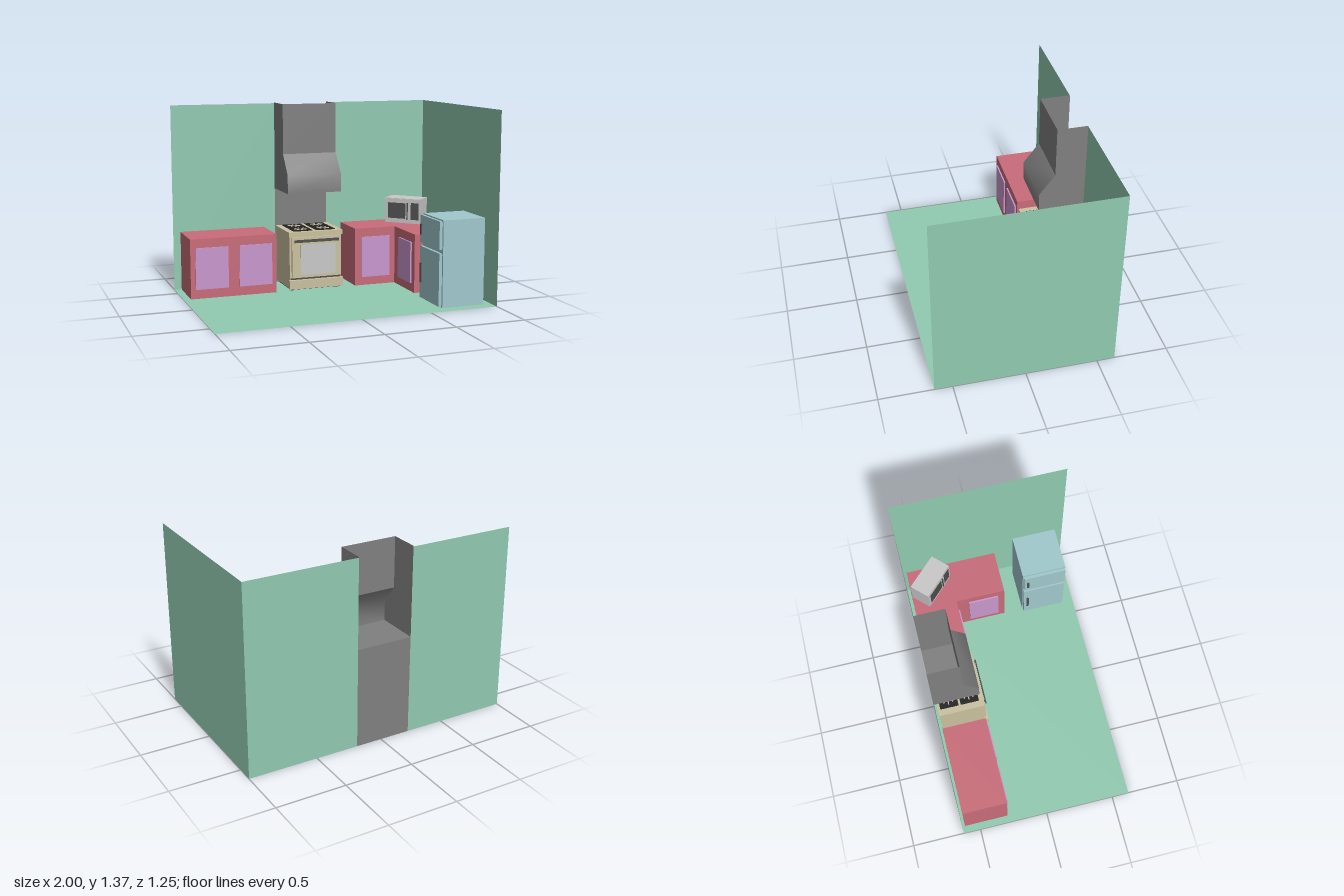
import * as THREE from 'three';

export function createModel() {
  const root = new THREE.Group();
  root.name = 'kitchen';

  const mat = (name, color, double) => {
    const m = new THREE.MeshStandardMaterial({ color });
    m.name = name;
    if (double) m.side = THREE.DoubleSide;
    return m;
  };
  const green = mat('wall green', 0x91cab1, true);
  const steel = mat('hood grey', 0x808080, true);
  const red = mat('cabinet red', 0xc86c79);
  const purple = mat('cabinet door purple', 0xc998cd);
  const beige = mat('stove beige', 0xcac19f);
  const paleGrey = mat('pale grey', 0xc9c9c9);
  const blue = mat('fridge blue', 0xa1c9cd);
  const dark = mat('dark grey', 0x505050);
  const black = mat('burner black', 0x222222);

  const add = (parent, name, geo, material) => {
    const m = new THREE.Mesh(geo, material);
    m.name = name;
    parent.add(m);
    return m;
  };
  const group = (name) => {
    const g = new THREE.Group();
    g.name = name;
    root.add(g);
    return g;
  };
  // Box given by its extents on each axis
  const box = (parent, name, material, [x0, x1], [y0, y1], [z0, z1]) => {
    const m = add(parent, name, new THREE.BoxGeometry(x1 - x0, y1 - y0, z1 - z0), material);
    m.position.set((x0 + x1) / 2, (y0 + y1) / 2, (z0 + z1) / 2);
    return m;
  };
  // Sheet spanning x0..x1 that follows a [z, y] path, smooth along the path
  const sheet = (parent, name, material, x0, x1, path) => {
    const pos = [], idx = [];
    path.forEach(([z, y], i) => {
      pos.push(x0, y, z, x1, y, z);
      if (i) {
        const a = 2 * i - 2;
        idx.push(a, a + 2, a + 1, a + 1, a + 2, a + 3);
      }
    });
    const g = new THREE.BufferGeometry();
    g.setAttribute('position', new THREE.Float32BufferAttribute(pos, 3));
    g.setIndex(idx);
    g.computeVertexNormals();
    return add(parent, name, g, material);
  };

  // Room: floor, back wall with a gap for the hood, side wall
  const B = -0.625, F = 0.625, H = 1.36, L = -0.22, R = 0.19;
  const room = group('room');
  sheet(room, 'floor', green, -1, 1, [[B, 0], [F, 0]]);
  sheet(room, 'backWallLeftPart', green, -1, L, [[B, H], [B, 0]]);
  sheet(room, 'backWallRightPart', green, R, 1, [[B, H], [B, 0]]);
  const side = add(room, 'sideWall', new THREE.PlaneGeometry(F - B, H), green);
  side.rotation.y = -Math.PI / 2;
  side.position.set(1, H / 2, 0);

  // Extractor hood, an open shell in the wall gap
  const hood = group('hood');
  sheet(hood, 'splashback', steel, L, R, [[B, 0.72], [B, 0]]);
  sheet(hood, 'hoodBottom', steel, L, R, [[-0.3, 0.72], [B, 0.72]]);
  sheet(hood, 'chimneyFront', steel, L, R, [[-0.41, 1.365], [-0.41, 1]]);
  sheet(hood, 'hoodFront', steel, L, R, [[-0.41, 1], [-0.3, 0.855], [-0.3, 0.72]]);
  const profile = new THREE.Shape([
    [B, 0.72], [-0.3, 0.72], [-0.3, 0.855], [-0.41, 1], [-0.41, 1.365], [B, 1.365],
  ].map(([z, y]) => new THREE.Vector2(z, y)));
  for (const x of [L, R]) {
    const g = new THREE.ShapeGeometry(profile).rotateY(-Math.PI / 2);
    if (x === R) { // turn the second side outward
      g.index.array.reverse();
      g.computeVertexNormals();
    }
    add(hood, 'hoodSide', g, steel).position.x = x;
  }

  // Left cabinet
  const leftCabinet = group('leftCabinet');
  box(leftCabinet, 'cabinetBody', red, [-0.95, -0.315], [0.002, 0.435], [-0.605, -0.285]);
  for (const x of [[-0.915, -0.675], [-0.595, -0.35]])
    box(leftCabinet, 'cabinetDoor', purple, x, [0.07, 0.37], [-0.286, -0.274]);

  // Corner cabinet, an L shape extruded upward
  const corner = group('cornerCabinet');
  const plan = new THREE.Shape([
    [0.3, 0.6], [0.3, 0.285], [0.62, 0.285], [0.62, -0.08], [0.94, -0.08], [0.94, 0.6],
  ].map(([x, y]) => new THREE.Vector2(x, y)));
  const bodyGeo = new THREE.ExtrudeGeometry(plan, { depth: 0.433, bevelEnabled: false });
  add(corner, 'cabinetBody', bodyGeo.rotateX(-Math.PI / 2), red).position.y = 0.002;
  box(corner, 'cabinetDoor', purple, [0.348, 0.575], [0.065, 0.37], [-0.286, -0.274]);
  box(corner, 'cabinetDoor', purple, [0.608, 0.621], [0.065, 0.37], [-0.195, 0.03]);

  // Stove
  const stove = group('stove');
  box(stove, 'stoveBase', dark, [-0.205, 0.18], [0.008, 0.03], [-0.59, -0.29]);
  box(stove, 'stoveBody', beige, [-0.215, 0.185], [0.02, 0.425], [-0.6, -0.28]);
  box(stove, 'stoveTop', beige, [-0.222, 0.192], [0.405, 0.44], [-0.605, -0.27]);
  box(stove, 'drawer', beige, [-0.222, 0.192], [0.02, 0.085], [-0.285, -0.25]);
  box(stove, 'drawerGap', dark, [-0.21, 0.18], [0.085, 0.097], [-0.285, -0.278]);
  box(stove, 'ovenDoor', beige, [-0.2, 0.175], [0.1, 0.4], [-0.285, -0.265]);
  box(stove, 'ovenWindow', paleGrey, [-0.135, 0.135], [0.12, 0.345], [-0.266, -0.263]);
  box(stove, 'ovenHandle', dark, [-0.185, 0.157], [0.364, 0.384], [-0.259, -0.251]);
  for (const x of [-0.175, 0.135])
    box(stove, 'handleMount', dark, [x, x + 0.012], [0.368, 0.38], [-0.266, -0.256]);
  for (const x of [-0.19, 0.16])
    for (const z of [-0.57, -0.31])
      add(stove, 'stoveFoot', new THREE.CylinderGeometry(0.012, 0.012, 0.022, 10), dark)
        .position.set(x, 0.013, z);

  // Four burners with eight-armed grates
  for (const x of [-0.103, 0.073])
    for (const z of [-0.52, -0.37]) {
      const burner = new THREE.Group();
      burner.name = 'burner';
      burner.position.set(x, 0.44, z);
      stove.add(burner);
      box(burner, 'burnerPlate', black, [-0.073, 0.073], [0, 0.004], [-0.067, 0.067]);
      for (let i = 0; i < 4; i++)
        box(burner, 'grateArm', beige, [-0.05, 0.05], [0.004, 0.0065], [-0.004, 0.004])
          .rotation.y = i * Math.PI / 4;
      add(burner, 'burnerCap', new THREE.CylinderGeometry(0.012, 0.012, 0.004, 12), black)
        .position.y = 0.006;
    }

  // Fridge, its doors facing -x
  const fridge = group('fridge');
  box(fridge, 'fridgeBody', blue, [0.62, 0.936], [0.002, 0.615], [0.222, 0.545]);
  for (const [door, handle] of [[[0.012, 0.385], [0.125, 0.265]], [[0.41, 0.608], [0.47, 0.545]]]) {
    box(fridge, 'fridgeDoor', blue, [0.594, 0.614], door, [0.228, 0.54]);
    box(fridge, 'doorSeal', blue, [0.613, 0.621], [door[0] + 0.01, door[1] - 0.01], [0.236, 0.532]);
    box(fridge, 'fridgeHandle', dark, [0.583, 0.59], handle, [0.246, 0.264]);
    for (const y of handle.map((h, i) => (i ? h - 0.012 : h)))
      box(fridge, 'handleMount', dark, [0.588, 0.596], [y, y + 0.012], [0.25, 0.26]);
  }

  // Microwave set diagonally on the corner cabinet
  const microwave = group('microwave');
  microwave.position.set(0.78, 0.436, -0.44);
  microwave.rotation.y = -Math.PI / 4;
  box(microwave, 'microwaveBody', paleGrey, [-0.143, 0.143], [0, 0.19], [-0.076, 0.073]);
  box(microwave, 'microwaveDoor', paleGrey, [-0.14, 0.055], [0.006, 0.184], [0.072, 0.077]);
  box(microwave, 'microwaveWindow', dark, [-0.118, 0.025], [0.035, 0.155], [0.076, 0.079]);
  box(microwave, 'microwaveHandle', dark, [0.036, 0.045], [0.03, 0.16], [0.076, 0.084]);
  box(microwave, 'controlPanel', dark, [0.068, 0.13], [0.03, 0.16], [0.072, 0.075]);

  return root;
}
